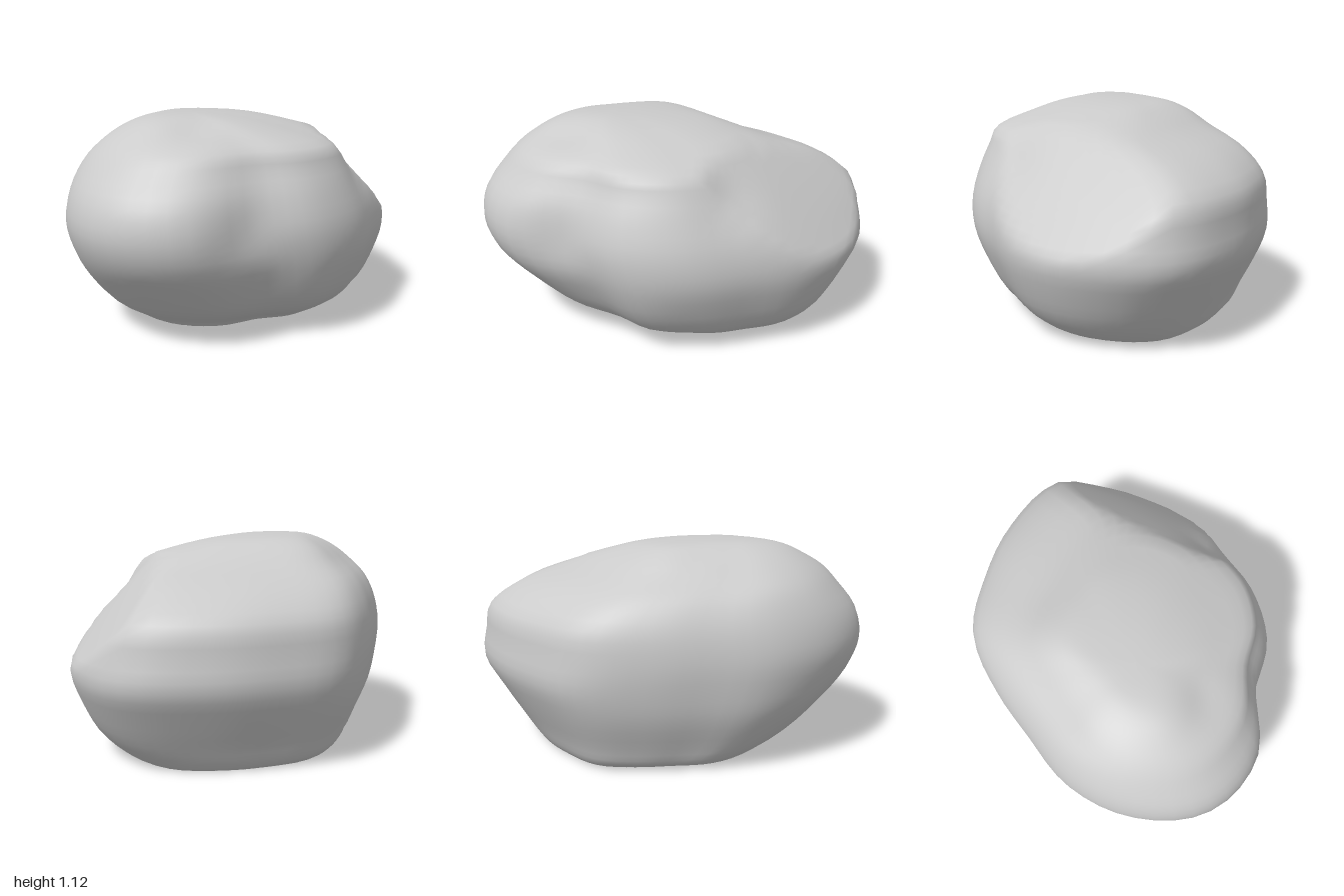
import * as THREE from 'three';

// Plan outline: 16 radii, from +x turning toward +z.
const OUTLINE = [.77, .76, .76, .75, .93, 1.02, .98, .89, .79, .80, .87, .88, .95, 1.04, .98, .88];

// Levels from the ground up: height, then the extents in x and z the outline is fitted to.
const LEVELS = [
  [0, -.02, -.02, -.15, -.15],
  [0, -.51, .46, -.66, .37],
  [0, -.55, .5, -.71, .42],
  [.04, -.63, .59, -.75, .47],
  [.14, -.69, .7, -.82, .65],
  [.3, -.765, .775, -.92, .82],
  [.45, -.8, .815, -1, .95],
  [.6, -.815, .8, -.985, 1],
  [.75, -.79, .75, -.95, .97],
  [.88, -.73, .68, -.76, .87],
  [.97, -.64, .59, -.5, .79],
  [1.04, -.55, .36, -.32, .67],
  [1.09, -.45, .15, -.17, .56],
  [1.115, -.35, -.04, .05, .42],
  [1.12, -.2, -.2, .25, .25],
];

// Hollows (positive depth) and swells (negative depth): centre, depth, radius.
const DENTS = [
  { at: new THREE.Vector3(-0.1, 1.04, 0.58), depth: 0.03, radius: 0.12 },
  { at: new THREE.Vector3(0.6, 0.82, 0.05), depth: 0.03, radius: 0.17 },
  { at: new THREE.Vector3(0.17, 0.6, 0.8), depth: 0.04, radius: 0.16 },
  { at: new THREE.Vector3(0.42, 0.22, 0.46), depth: -0.05, radius: 0.22 },
  { at: new THREE.Vector3(-0.38, 1.06, -0.22), depth: -0.025, radius: 0.18 },
];

// Worn facet sloping off the back right shoulder
const SHOULDER = { normal: new THREE.Vector3(0.69, 0.67, -0.26).normalize(), reach: 1.0 };

const SIDES = 64;
const STEPS = 3;
const CORE = new THREE.Vector3(0, 0.5, 0);

function spline(a, b, c, d, t) {
  return b + 0.5 * t * (c - a + t * (2 * a - 5 * b + 4 * c - d + t * (3 * (b - c) + d - a)));
}

// Smooth outline, with each axis rescaled to run from 0 to 1
function makeOutline() {
  const n = OUTLINE.length;
  const points = Array.from({ length: SIDES }, (_, i) => {
    const u = (i / SIDES) * n, k = Math.floor(u);
    const [a, b, c, d] = [-1, 0, 1, 2].map((step) => OUTLINE[(k + step + n) % n]);
    const radius = spline(a, b, c, d, u - k);
    const angle = (i / SIDES) * Math.PI * 2;
    return new THREE.Vector2(Math.cos(angle) * radius, Math.sin(angle) * radius);
  });
  const box = new THREE.Box2().setFromPoints(points);
  const size = box.getSize(new THREE.Vector2());
  return points.map((p) => p.sub(box.min).divide(size));
}

// Weather one point: flatten the shoulder, press the dents, keep the base flat
function weather(p) {
  const excess = p.dot(SHOULDER.normal) - SHOULDER.reach;
  if (excess > 0) p.addScaledVector(SHOULDER.normal, -0.9 * excess);
  for (const { at, depth, radius } of DENTS) {
    const amount = depth * Math.exp(-p.distanceToSquared(at) / (radius * radius));
    p.addScaledVector(CORE.clone().sub(p).normalize(), amount);
  }
  p.y = Math.max(p.y, 0);
  return p;
}

function makeStone() {
  const outline = makeOutline();
  const positions = [], index = [];
  const last = LEVELS.length - 1;
  const rows = last * STEPS;
  for (let j = 0; j <= rows; j++) {
    // Blend neighbouring levels into one cross-section
    const k = Math.min(Math.floor(j / STEPS), last - 1), t = j / STEPS - k;
    const [a, b, c, d] = [Math.max(k - 1, 0), k, k + 1, Math.min(k + 2, last)].map((m) => LEVELS[m]);
    const [y, left, right, back, front] = b.map((_, v) => spline(a[v], b[v], c[v], d[v], t));
    outline.forEach((o, i) => {
      const x = THREE.MathUtils.lerp(left, right, o.x);
      const z = THREE.MathUtils.lerp(back, front, o.y);
      positions.push(...weather(new THREE.Vector3(x, y, z)));
      if (j === rows) return;
      const here = j * SIDES + i, next = j * SIDES + (i + 1) % SIDES;
      index.push(here, here + SIDES, next, next, here + SIDES, next + SIDES);
    });
  }
  const geometry = new THREE.BufferGeometry();
  geometry.setAttribute('position', new THREE.Float32BufferAttribute(positions, 3));
  geometry.setIndex(index);
  geometry.computeVertexNormals();
  return geometry;
}

export function createModel() {
  const group = new THREE.Group();
  group.name = 'rock';
  const stone = new THREE.Mesh(makeStone(), new THREE.MeshStandardMaterial({ color: 0xcccccc }));
  stone.name = 'boulder';
  group.add(stone);
  return group;
}
